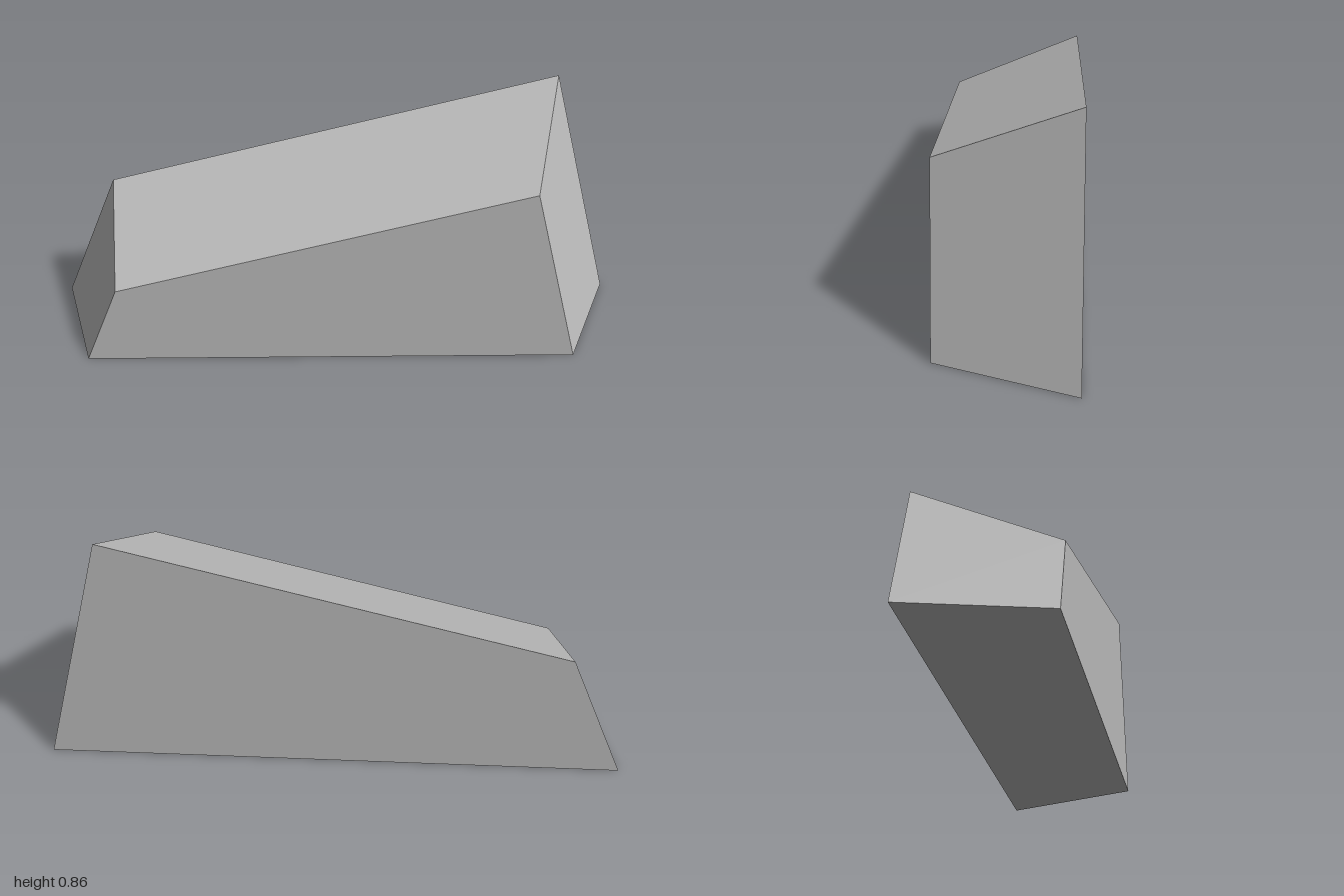
import * as THREE from 'three';

const DEPTH = 0.47;

// Outlines of the two end faces: [left x, right x] at the base, then [x, y] of the two top corners
const back = { base: [-1, 1], top: [[-0.81, 0.46], [0.78, 0.862]] };
const front = { base: [-0.875, 0.825], top: [[-0.762, 0.275], [0.665, 0.637]] };

export function createModel() {
  const group = new THREE.Group();
  group.name = 'wedgeBlock';

  const grey = new THREE.MeshStandardMaterial({ color: 0xbcbcbc });
  grey.name = 'grey';

  // Tapered block: a box with each corner moved to its place on the outlines
  const geometry = new THREE.BoxGeometry(1, 1, DEPTH);
  const pos = geometry.attributes.position;
  for (let i = 0; i < pos.count; i++) {
    const outline = pos.getZ(i) > 0 ? front : back;
    const side = pos.getX(i) > 0 ? 1 : 0;
    const [x, y] = pos.getY(i) > 0 ? outline.top[side] : [outline.base[side], 0];
    pos.setXY(i, x, y);
  }
  geometry.computeVertexNormals();

  const block = new THREE.Mesh(geometry, grey);
  block.name = 'block';
  group.add(block);
  return group;
}
